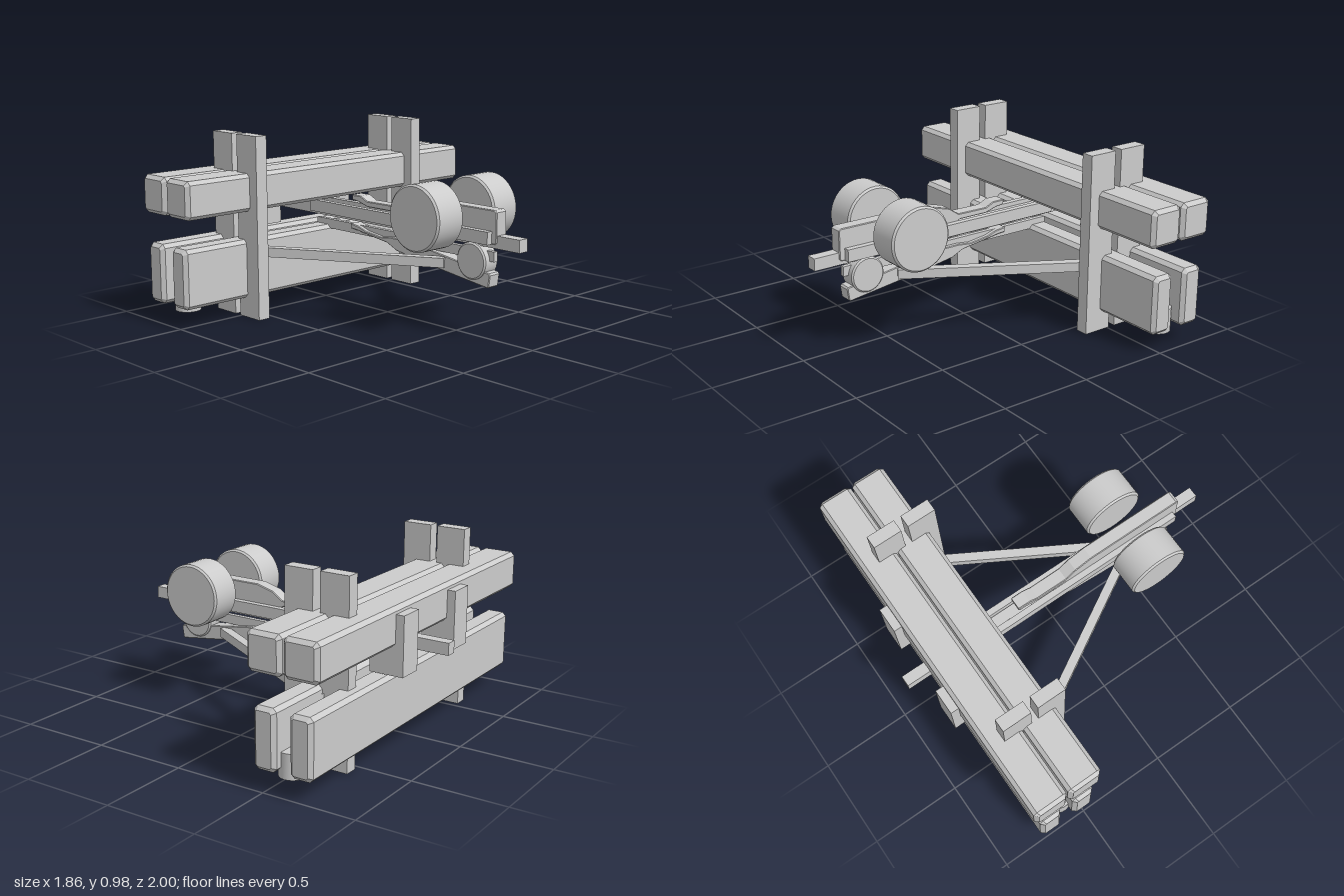
import * as THREE from 'three';
import { toCreasedNormals } from 'three/addons/utils/BufferGeometryUtils.js';

const material = new THREE.MeshStandardMaterial({ color: 0xcccccc, flatShading: true });
const smooth = new THREE.MeshStandardMaterial({ color: 0xcccccc });

export function createModel() {
  const model = new THREE.Group();

  const add = (name, geometry, mat = material) => {
    const mesh = new THREE.Mesh(geometry, mat);
    mesh.name = name;
    model.add(mesh);
    return mesh;
  };

  // Plain box given by its limits
  const box = (name, x0, x1, y0, y1, z0, z1) => {
    const g = new THREE.BoxGeometry(x1 - x0, y1 - y0, z1 - z0);
    g.translate((x0 + x1) / 2, (y0 + y1) / 2, (z0 + z1) / 2);
    return add(name, g);
  };

  // Outline in x/y extruded along z, centred on z = 0, with chamfered ends
  const extrude = (name, points, width, c) => {
    const shape = new THREE.Shape(points.map(([x, y]) => new THREE.Vector2(x, y)));
    const g = new THREE.ExtrudeGeometry(shape, {
      depth: width - 2 * c, bevelEnabled: true, bevelSegments: 1,
      bevelSize: c, bevelThickness: c, bevelOffset: -c,
    });
    g.translate(0, 0, -width / 2 + c);
    return add(name, g);
  };

  // Long timber with chamfered edges
  const timber = (name, x0, x1, y0, y1, c = 0.02) => extrude(name, [
    [x0 + c, y0], [x1 - c, y0], [x1, y0 + c], [x1, y1 - c],
    [x1 - c, y1], [x0 + c, y1], [x0, y1 - c], [x0, y0 + c],
  ], 2, c);

  // Round part with its axis along z and chamfered rims
  const wheel = (name, x, y, z, r, width, c) => {
    const h = width / 2;
    const profile = [[0, -h], [r - c, -h], [r, c - h], [r, h - c], [r - c, h], [0, h]];
    let g = new THREE.LatheGeometry(profile.map(([a, b]) => new THREE.Vector2(a, b)), 40);
    g = toCreasedNormals(g, 0.5);
    g.rotateX(Math.PI / 2);
    add(name, g, smooth).position.set(x, y, z);
  };

  // Paired upper and lower beams
  timber('upperBeamBack', -0.8, -0.608, 0.575, 0.775);
  timber('upperBeamFront', -0.6, -0.408, 0.575, 0.775);
  timber('lowerBeamBack', -0.767, -0.643, 0.105, 0.42);
  timber('lowerBeamFront', -0.567, -0.443, 0.105, 0.42);

  for (const s of [-1, 1]) {
    // Upright posts
    for (const x of [-0.63, -0.43]) {
      box('post', x - 0.08, x + 0.08, 0, 0.975, s * 0.57 - 0.035, s * 0.57 + 0.035);
    }

    // Blocks on the back beam
    box('backBlock', -0.845, -0.66, 0.43, 0.74, s * 0.26 - 0.07, s * 0.26 + 0.07);

    // Round feet between the lower beams
    const foot = new THREE.CylinderGeometry(0.067, 0.067, 0.13, 32);
    add('foot', toCreasedNormals(foot, 0.5), smooth).position.set(-0.588, 0.135, s * 0.885);

    // Diagonal braces from posts to the centre arm
    const a = new THREE.Vector3(-0.565, 0.355, s * 0.622);
    const b = new THREE.Vector3(0.45, 0.355, s * 0.037);
    const brace = add('diagonalBrace', new THREE.BoxGeometry(0.05, 0.05, a.distanceTo(b)));
    brace.position.copy(a).add(b).multiplyScalar(0.5);
    brace.lookAt(b);

    // Side rails and large wheels
    box('sideRail', -0.55, 0.76, 0.495, 0.56, s * 0.053 - 0.017, s * 0.053 + 0.017);
    wheel('largeWheel', 0.475, 0.617, s * 0.203, 0.17, 0.183, 0.01);
  }

  // Bars along the centre line
  box('centreBar', -0.93, 0.93, 0.475, 0.54, -0.03, 0.03);
  box('lowerRail', -0.55, 0.757, 0.4, 0.452, -0.013, 0.013);

  // Shaped arms
  extrude('upperArm', [
    [-0.24, 0.59], [-0.19, 0.585], [-0.12, 0.565], [0.05, 0.565], [0.12, 0.53], [0.22, 0.495],
    [0.78, 0.495], [0.79, 0.505], [0.79, 0.655], [0.775, 0.665], [0.22, 0.665], [0.12, 0.638],
    [0.06, 0.597], [-0.12, 0.595], [-0.17, 0.618], [-0.24, 0.618],
  ], 0.074, 0.004);
  extrude('lowerArm', [
    [-0.25, 0.43], [-0.2, 0.426], [-0.1, 0.41], [0.03, 0.392], [0.1, 0.36], [0.28, 0.33],
    [0.735, 0.269], [0.743, 0.275], [0.752, 0.335], [0.745, 0.345], [0.3, 0.41], [0.17, 0.425],
    [0.06, 0.425], [-0.02, 0.416], [-0.13, 0.43], [-0.19, 0.45], [-0.25, 0.458],
  ], 0.074, 0.004);

  // Small wheel at the end of the lower arm
  wheel('smallWheel', 0.635, 0.393, 0, 0.095, 0.1, 0.008);

  return model;
}
